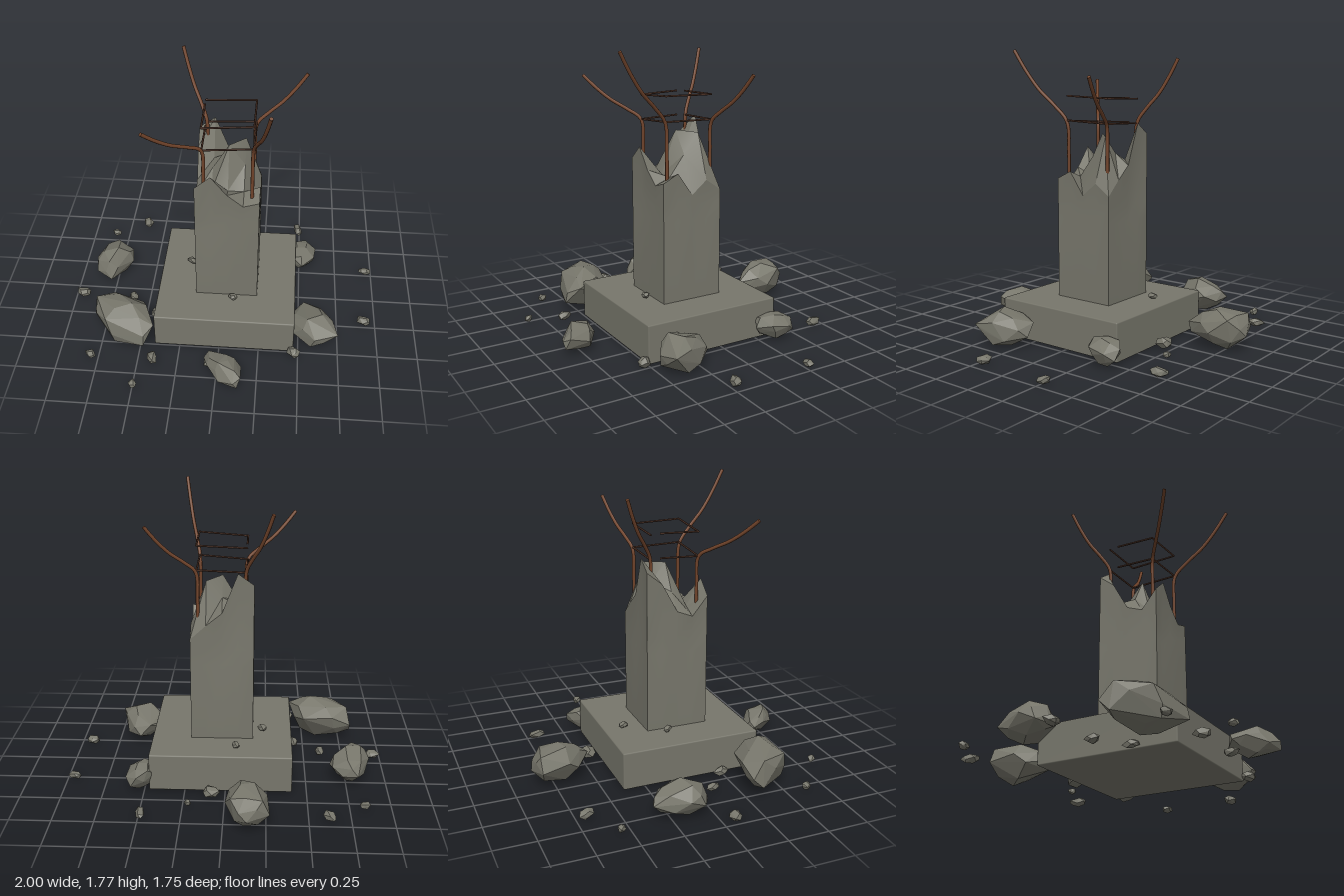
import * as THREE from 'three';
import { toCreasedNormals } from 'three/addons/utils/BufferGeometryUtils.js';
import { RoundedBoxGeometry } from 'three/addons/geometries/RoundedBoxGeometry.js';
import { ConvexGeometry } from 'three/addons/geometries/ConvexGeometry.js';

// Small seeded generator
function seeded(seed) {
  let s = seed * 7919 + 17;
  return () => {
    s = (s * 16807) % 2147483647;
    return s / 2147483647;
  };
}

// Convex chunk fitted to half sizes; skew slants its outline in plan
function rockGeometry(seed, hx, hy, hz, skew, count) {
  const rnd = seeded(seed);
  for (let i = 0; i < 5; i++) rnd();
  const points = [];
  for (let i = 0; i < count; i++) {
    const y = 1 - (2 * (i + 0.5)) / count;
    const r = Math.sqrt(1 - y * y);
    const a = i * 2.39996 + rnd() * 0.7;
    const k = 0.8 + rnd() * 0.35;
    const p = new THREE.Vector3(Math.cos(a) * r, y, Math.sin(a) * r).multiplyScalar(k);
    p.x += skew * p.z;
    points.push(p);
  }
  const box = new THREE.Box3().setFromPoints(points);
  const mid = box.getCenter(new THREE.Vector3());
  const size = box.getSize(new THREE.Vector3());
  const half = new THREE.Vector3(hx, hy, hz);
  points.forEach((p) => p.sub(mid).divide(size).multiplyScalar(2).multiply(half));
  return new ConvexGeometry(points);
}

// Broken column: a subdivided box whose top grid follows a height table
function columnGeometry() {
  const heights = [ // rows from back to front, columns along +x
    [1.26, 1.33, 1.08, 1.0, 0.91],
    [1.18, 1.1, 1.15, 1.255, 0.98],
    [1.0, 1.1, 1.265, 1.13, 0.9],
    [0.96, 1.0, 1.0, 1.0, 1.04],
    [1.08, 1.165, 1.04, 0.96, 0.99],
  ];
  const geo = new THREE.BoxGeometry(0.39, 1, 0.395, 4, 3, 4);
  const pos = geo.attributes.position;
  for (let n = 0; n < pos.count; n++) {
    const x = pos.getX(n), z = pos.getZ(n);
    const row = Math.round((pos.getY(n) + 0.5) * 3);
    const i = Math.round((x / 0.39 + 0.5) * 4);
    const j = Math.round((z / 0.395 + 0.5) * 4);
    const inset = row === 2 ? 1 - 0.07 * ((i * 3 + j * 2) % 4) / 3 : 1;
    pos.setXYZ(n, x * inset + 0.03, [0.24, 0.74, 0.84, heights[j][i]][row], z * inset + 0.0575);
  }
  return toCreasedNormals(geo, 0.4);
}

export function createModel() {
  const concrete = new THREE.MeshStandardMaterial({ color: 0x77766b });
  const rust = new THREE.MeshStandardMaterial({ color: 0x70432a });
  const darkRust = new THREE.MeshStandardMaterial({ color: 0x4a3024 });
  concrete.name = 'concrete';
  rust.name = 'rust';
  darkRust.name = 'darkRust';

  const model = new THREE.Group();
  model.name = 'ruinedColumn';
  const add = (name, geo, mat, parent = model) => {
    const mesh = new THREE.Mesh(geo, mat);
    mesh.name = name;
    parent.add(mesh);
    return mesh;
  };
  const group = (name) => {
    const g = new THREE.Group();
    g.name = name;
    model.add(g);
    return g;
  };

  // Footing and broken shaft
  add('footing', new RoundedBoxGeometry(0.88, 0.237, 0.885, 1, 0.008), concrete).position.set(0.03, 0.1265, 0.055);
  add('brokenColumn', columnGeometry(), concrete);

  // Four bent reinforcing rods, each from a corner to its splayed tip
  const rods = group('reinforcingRods');
  const bend = [[0.03, 0.08], [0.25, 0.28], [0.54, 0.49], [0.78, 0.73], [1, 1]];
  [
    [-0.112, 0.205, -0.42, 1.575, 0.455],
    [-0.112, -0.095, -0.27, 1.72, -0.295],
    [0.178, 0.205, 0.28, 1.77, 0.555],
    [0.178, -0.095, 0.475, 1.62, -0.195],
  ].forEach(([x, z, tx, ty, tz]) => {
    const path = [new THREE.Vector3(x, 0.97, z), new THREE.Vector3(x, 1.15, z)];
    bend.forEach(([f, h]) => path.push(new THREE.Vector3(x + (tx - x) * f, 1.3 + (ty - 1.3) * h, z + (tz - z) * f)));
    const curve = new THREE.CatmullRomCurve3(path);
    add('bentRod', new THREE.TubeGeometry(curve, 28, 0.011, 8), rust, rods);
    // End caps
    [[0, -1], [1, 1]].forEach(([t, dir]) => {
      const cap = add('rodEnd', new THREE.CircleGeometry(0.011, 8), rust, rods);
      const p = curve.getPoint(t);
      cap.position.copy(p);
      cap.lookAt(p.clone().addScaledVector(curve.getTangent(t), dir));
    });
  });

  // Two open wire ties around the rods
  const ties = group('wireTies');
  [0, 0.15].forEach((dy) => {
    const pts = [
      [-0.12, 1.33, -0.04], [-0.12, 1.322, 0.21], [0.182, 1.345, 0.21], [0.182, 1.337, -0.097], [-0.12, 1.325, -0.097],
    ].map(([x, y, z]) => new THREE.Vector3(x, y + dy, z));
    for (let i = 0; i < pts.length - 1; i++) {
      const line = new THREE.LineCurve3(pts[i], pts[i + 1]);
      add('tieWire', new THREE.TubeGeometry(line, 1, 0.006, 6), darkRust, ties);
      add('tieBend', new THREE.SphereGeometry(0.006, 6, 4), darkRust, ties).position.copy(pts[i + 1]);
    }
  });

  // Large chunks: centre x, z, half sizes x, y, z, bottom, skew
  const rubble = group('largeRubble');
  [
    [-0.14, -0.695, 0.13, 0.118, 0.185, 0.01, 0.2],
    [-0.775, -0.185, 0.125, 0.105, 0.175, 0.01, -0.2],
    [-0.615, 0.425, 0.205, 0.138, 0.175, 0.01, 0.5],
    [0.038, 0.74, 0.118, 0.085, 0.13, 0.005, 0.5],
    [0.585, 0.34, 0.16, 0.105, 0.158, 0.01, 0.3],
    [0.52, -0.34, 0.092, 0.08, 0.122, 0.005, -0.2],
  ].forEach(([x, z, hx, hy, hz, bottom, skew], i) => {
    add('rubbleChunk', rockGeometry(i + 3, hx, hy, hz, skew, 24), concrete, rubble).position.set(x, bottom + hy, z);
  });

  // Small fragments: centre x, z, half sizes x, y, z, bottom
  const debris = group('smallDebris');
  [
    [-0.62, -0.69, 0.036, 0.027, 0.048, 0.01],
    [-0.84, -0.555, 0.032, 0.022, 0.022, 0.01],
    [0.08, -0.455, 0.052, 0.035, 0.043, 0.01],
    [0.22, -0.56, 0.022, 0.018, 0.02, 0.01],
    [0.49, -0.69, 0.029, 0.028, 0.055, 0.005],
    [0.955, -0.268, 0.04, 0.022, 0.026, 0.01],
    [-0.06, -0.262, 0.025, 0.018, 0.03, 0.25],
    [-0.222, -0.03, 0.029, 0.021, 0.029, 0.245],
    [0.072, 0.298, 0.028, 0.018, 0.028, 0.248],
    [-0.955, 0.08, 0.045, 0.026, 0.037, 0.005],
    [-0.605, 0.1, 0.028, 0.026, 0.043, 0.005],
    [-0.44, 0.235, 0.027, 0.026, 0.05, 0.005],
    [0.925, 0.21, 0.042, 0.026, 0.036, 0.005],
    [0.472, 0.525, 0.043, 0.035, 0.042, 0.005],
    [-0.41, 0.632, 0.031, 0.028, 0.048, 0.005],
    [-0.8, 0.632, 0.036, 0.023, 0.027, 0.005],
    [-0.5, 0.848, 0.026, 0.022, 0.025, 0.005],
    [-0.05, 0.645, 0.032, 0.025, 0.042, 0.005],
  ].forEach(([x, z, hx, hy, hz, bottom], i) => {
    add('fragment', rockGeometry(i + 40, hx, hy, hz, 0.2, 14), concrete, debris).position.set(x, bottom + hy, z);
  });

  return model;
}
